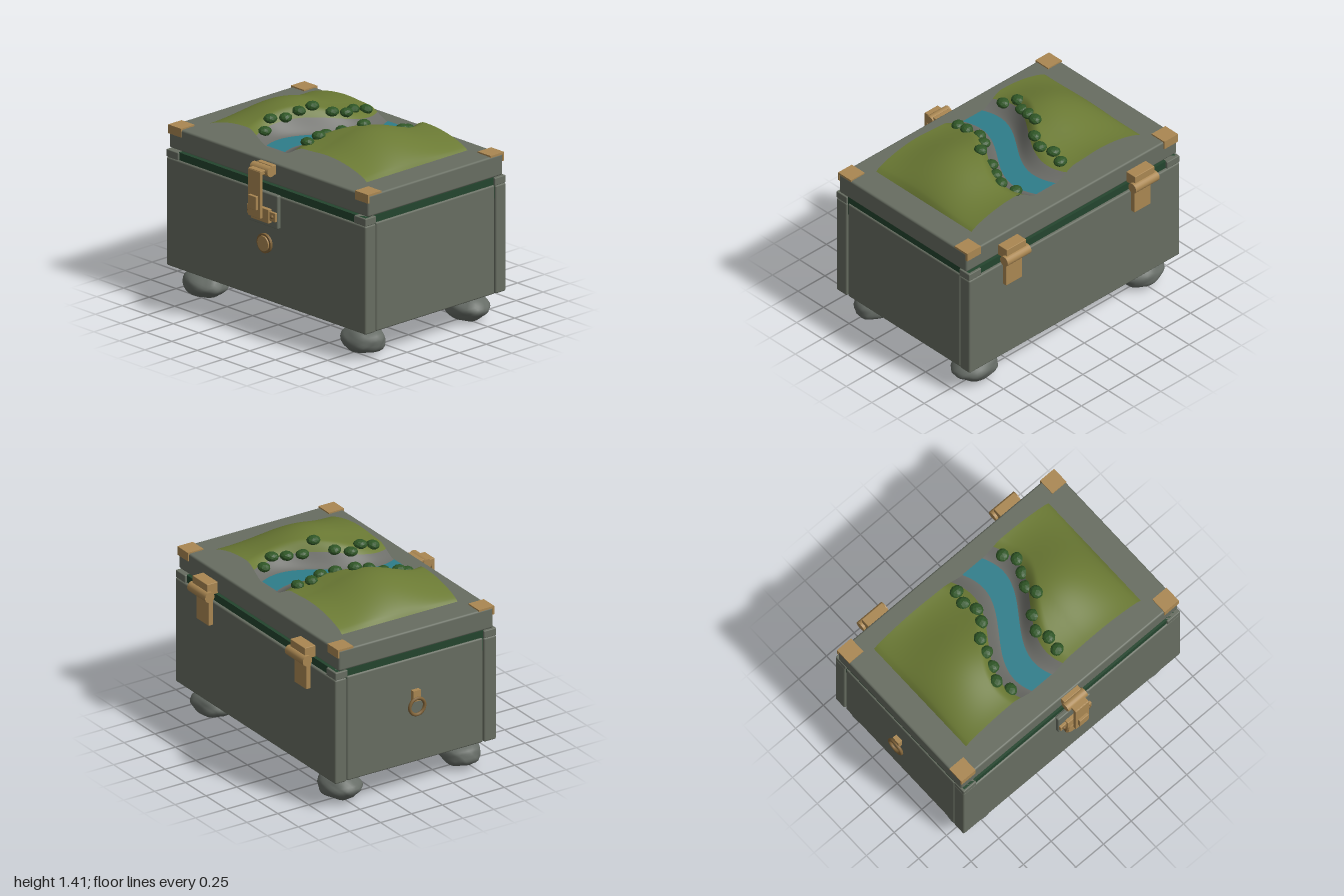
import * as THREE from 'three';
import { mergeVertices } from 'three/addons/utils/BufferGeometryUtils.js';
import { RoundedBoxGeometry } from 'three/addons/geometries/RoundedBoxGeometry.js';

const mat = (name, color, extra = {}) => {
  const m = new THREE.MeshStandardMaterial({ color, ...extra });
  m.name = name;
  return m;
};

export function createModel() {
  const root = new THREE.Group();
  root.name = 'chest';
  const stone = mat('greyGreenStone', 0x676d61);
  const footStone = mat('footStone', 0x666c66);
  const brass = mat('brass', 0xaa8752);
  const darkBrass = mat('darkBrass', 0x7f6238);
  const liningGreen = mat('darkGreen', 0x24452e);
  const grass = mat('grass', 0x6b7a34);
  const rock = mat('rock', 0x6a6b66);
  const water = mat('water', 0x2e7d8a);
  const leaf = mat('leaf', 0x2f5626, { flatShading: true });

  const add = (name, geo, m, x = 0, y = 0, z = 0, parent = root) => {
    const mesh = new THREE.Mesh(geo, m);
    mesh.name = name;
    mesh.position.set(x, y, z);
    parent.add(mesh);
    return mesh;
  };
  // Box given by its limits along each axis; r is the edge rounding
  const box = (name, m, [x0, x1], [y0, y1], [z0, z1], r = 0, parent = root) => {
    const s = [x1 - x0, y1 - y0, z1 - z0];
    const geo = r ? new RoundedBoxGeometry(...s, 2, r) : new THREE.BoxGeometry(...s);
    return add(name, geo, m, (x0 + x1) / 2, (y0 + y1) / 2, (z0 + z1) / 2, parent);
  };
  let seed = 7;
  const rand = () => (seed = (seed * 16807) % 2147483647) / 2147483647;

  const L = -0.96, R = 0.995, MX = 0.0175;

  // Chest body: base, four walls and lining
  box('base', stone, [-0.88, 0.915], [0.19, 0.26], [-0.58, 0.53]);
  box('frontWall', stone, [L, R], [0.22, 0.995], [0.53, 0.63], 0.012);
  box('backWall', stone, [L, R], [0.22, 0.995], [-0.675, -0.58], 0.012);
  box('rightWall', stone, [L + 0.005, L + 0.1], [0.22, 1], [-0.575, 0.525], 0.012);
  box('leftWall', stone, [R - 0.1, R - 0.005], [0.22, 1], [-0.575, 0.525], 0.012);
  box('lining', liningGreen, [L + 0.015, R - 0.015], [0.9, 1.05], [-0.655, 0.617]);
  for (const x of [[L, L + 0.115], [R - 0.115, R]])
    for (const z of [[-0.672, -0.572], [0.53, 0.63]])
      box('cornerPost', stone, x, [0.995, 1.05], z, 0.006);

  // Lid with brass corner brackets
  box('lid', stone, [L, R], [1.056, 1.21], [-0.645, 0.605], 0.014);
  for (const x of [[L - 0.002, L + 0.125], [R - 0.125, R + 0.002]])
    for (const s of [1, -1]) {
      const edge = s > 0 ? 0.61 : -0.655;
      const span = (a, b) => [Math.min(a, b), Math.max(a, b)];
      box('bracketTop', brass, x, [1.205, 1.22], span(edge, edge - s * 0.125));
      box('bracketFlange', brass, x, [1.157, 1.22], span(edge, edge - s * 0.015));
    }

  // Boulder feet: lumpy squashed spheres
  const lumpy = (phase) => {
    let g = new THREE.IcosahedronGeometry(1, 5);
    g.deleteAttribute('uv');
    g.deleteAttribute('normal');
    g = mergeVertices(g);
    const p = g.attributes.position, v = new THREE.Vector3();
    for (let i = 0; i < p.count; i++) {
      v.fromBufferAttribute(p, i);
      const n = Math.sin(4 * v.x + phase) * Math.cos(5 * v.z + phase * 2) + Math.sin(6 * v.y + 3 * v.x + phase)
        + 0.6 * Math.sin(11 * v.z + 7 * v.y + phase);
      v.multiplyScalar(0.97 + 0.03 * n);
      p.setXYZ(i, v.x * 0.175, v.y * 0.098, v.z * 0.146);
    }
    g.computeVertexNormals();
    return g;
  };
  [[-0.757, 0.457], [0.787, 0.457], [-0.757, -0.505], [0.787, -0.505]].forEach(([x, z], i) =>
    add('foot', lumpy(i * 1.7 + 0.4), footStone, x, 0.105, z));

  // Landscape on the lid: two hills with a winding valley between
  const Z0 = -0.495, Z1 = 0.44, X0 = -0.77, X1 = 0.805;
  const riverX = (z) => 0.02 - 0.14 * Math.sin(5 * (z + 0.015));
  const height = (x, z) => {
    const u = Math.max(0, (0.7875 - Math.abs(x - MX)) / 0.7875);
    const hill = Math.pow(Math.sin(Math.PI * Math.min(u, 1)), 0.7);
    const dome = 0.135 + 0.045 * Math.cos((Math.PI * (z - 0.01)) / 0.47);
    const inner = Math.min(1, Math.abs(x - MX) / 0.39);
    const plateau = Math.max(hill, inner < 1 ? 0.75 + 0.25 * inner : 0);
    return 1.22 + dome * plateau * THREE.MathUtils.smoothstep(Math.abs(x - riverX(z)), 0.07, 0.27);
  };
  const patch = (name, m, left, right, yFn, nu) => {
    const g = new THREE.PlaneGeometry(1, 1, nu, 40).rotateX(-Math.PI / 2);
    const p = g.attributes.position;
    for (let i = 0; i < p.count; i++) {
      const z = THREE.MathUtils.lerp(Z0, Z1, p.getZ(i) + 0.5);
      const x = THREE.MathUtils.lerp(left(z), right(z), p.getX(i) + 0.5);
      p.setXYZ(i, x, yFn(x, z), z);
    }
    g.computeVertexNormals();
    return add(name, g, m);
  };
  const off = (d) => (z) => riverX(z) + d;
  patch('rightHill', grass, () => X0, off(-0.19), height, 36);
  patch('valley', rock, off(-0.19), off(0.19), height, 24);
  patch('leftHill', grass, off(0.19), () => X1, height, 36);
  patch('river', water, off(-0.09), off(0.09), () => 1.229, 4);

  // Bushes along both banks
  const banks = [
    [-0.1, -0.125, -0.09, -0.13, -0.225, -0.255, -0.285, -0.335, -0.29],
    [0.315, 0.36, 0.32, 0.27, 0.28, 0.165, 0.11, 0.14, 0.13],
  ];
  for (const xs of banks)
    xs.forEach((x, i) => {
      const z = -0.41 + i * 0.095;
      const bush = add('bush', new THREE.IcosahedronGeometry(0.05, 1), leaf, x, height(x, z) + 0.008, z);
      bush.scale.set(1, 0.66, 0.9);
      bush.rotation.y = rand() * 6;
    });

  // Front latch
  const latch = new THREE.Group();
  latch.name = 'latch';
  latch.position.x = 0.015;
  root.add(latch);
  const lbox = (name, m, w, y, z, r = 0.004) => box(name, m, [-w, w], y, z, r, latch);
  const bar = (name, r, len, y, z, x, parent) =>
    add(name, new THREE.CylinderGeometry(r, r, len, 20).rotateZ(Math.PI / 2), brass, x, y, z, parent);
  lbox('latchPlate', stone, 0.145, [0.765, 1.005], [0.62, 0.657], 0.01);
  lbox('latchCatch', brass, 0.14, [0.82, 0.885], [0.65, 0.675]);
  lbox('latchKeeper', brass, 0.086, [0.8, 0.9], [0.65, 0.686]);
  bar('latchPin', 0.036, 0.175, 1.165, 0.66, 0, latch);
  lbox('latchLidLeaf', brass, 0.075, [1.13, 1.2], [0.595, 0.64]);
  lbox('latchArm', brass, 0.06, [1.15, 1.18], [0.66, 0.735]);
  lbox('latchStrap', brass, 0.06, [0.84, 1.175], [0.712, 0.738]);
  lbox('latchThumb', brass, 0.04, [0.9, 0.998], [0.73, 0.758]);
  for (const s of [-1, 1])
    add('latchRivet', new THREE.SphereGeometry(0.014, 12, 8), darkBrass, s * 0.112, 0.853, 0.676, latch);

  // Round boss below the latch
  add('bossRim', new THREE.CylinderGeometry(0.069, 0.069, 0.022, 32).rotateX(Math.PI / 2), darkBrass, 0.015, 0.63, 0.638);
  add('boss', new THREE.CylinderGeometry(0.053, 0.058, 0.03, 32).rotateX(Math.PI / 2), brass, 0.015, 0.63, 0.643);

  // Two rear hinges
  for (const x of [-0.582, 0.61]) {
    const hinge = new THREE.Group();
    hinge.name = 'hinge';
    hinge.position.x = x;
    root.add(hinge);
    bar('hingeBarrel', 0.038, 0.22, 1.05, -0.722, 0, hinge);
    box('hingeLidLeaf', brass, [-0.09, 0.09], [1.055, 1.14], [-0.73, -0.64], 0.004, hinge);
    box('hingeBodyLeaf', brass, [-0.075, 0.075], [0.82, 1.03], [-0.708, -0.67], 0.004, hinge);
  }

  // Pull ring on the right side
  box('ringMount', brass, [-0.988, -0.955], [0.685, 0.765], [-0.06, 0]);
  const ring = add('pullRing', new THREE.TorusGeometry(0.06, 0.012, 10, 32), darkBrass, -0.988, 0.648, -0.03);
  ring.rotation.y = Math.PI / 2;
  return root;
}
